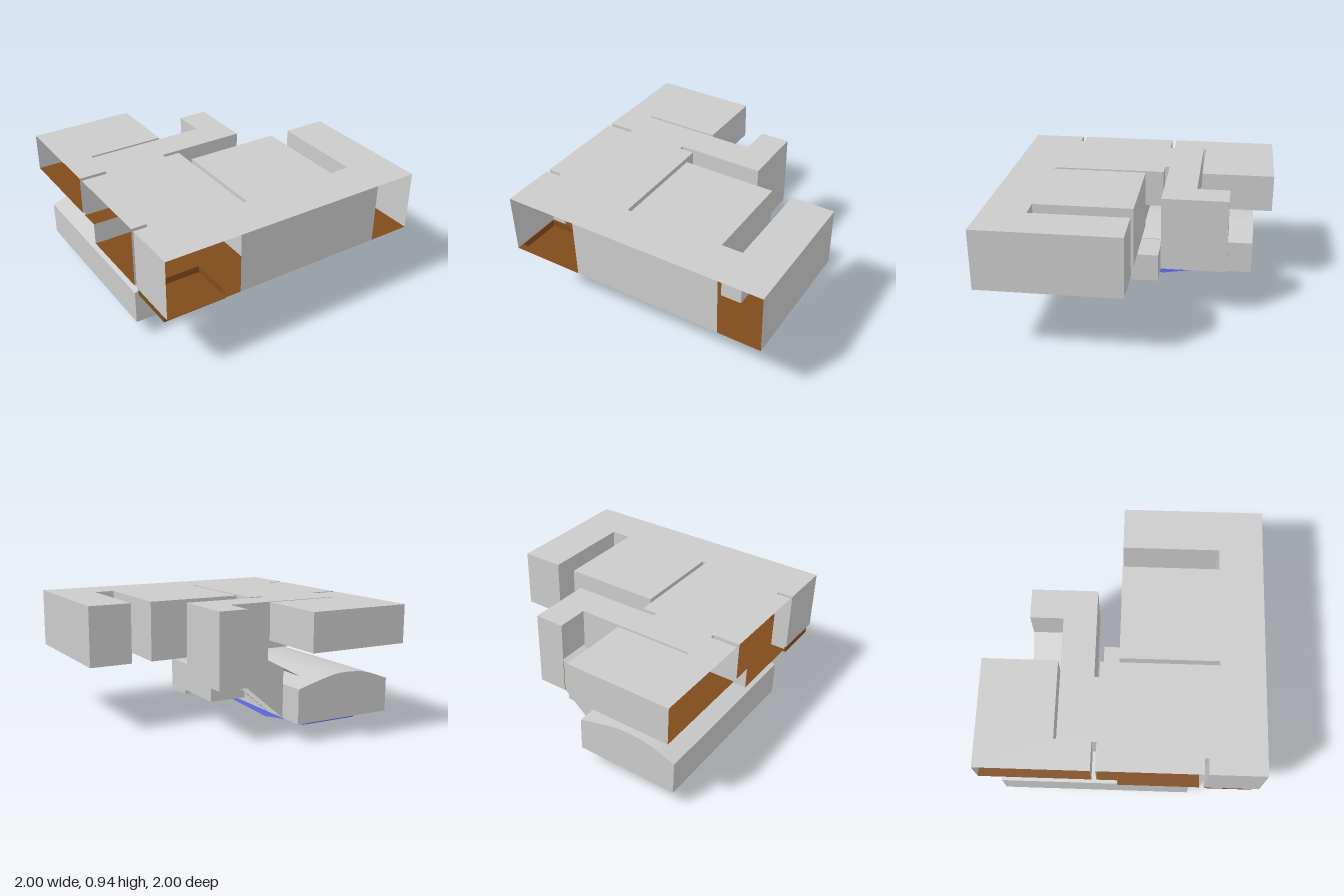
import * as THREE from 'three';

const mat = (color) => new THREE.MeshStandardMaterial({ color, side: THREE.DoubleSide });

export function createModel() {
  const model = new THREE.Group();
  const grey = mat(0xcccccc), brown = mat(0x7f4c1c), blue = mat(0x6670ee);

  const add = (name, geometry, material) => {
    const mesh = new THREE.Mesh(geometry, material);
    mesh.name = name;
    model.add(mesh);
  };

  // Flat sheet: 2D outline with holes, placed in space by map(u, v)
  const panel = (name, pts, map, material, holes = []) => {
    const v2 = (list) => list.map(([u, v]) => new THREE.Vector2(u, v));
    const shape = new THREE.Shape(v2(pts));
    holes.forEach((h) => shape.holes.push(new THREE.Path(v2(h))));
    const g = new THREE.ShapeGeometry(shape);
    const p = g.attributes.position;
    for (let i = 0; i < p.count; i++) p.setXYZ(i, ...map(p.getX(i), p.getY(i)));
    g.computeVertexNormals();
    add(name, g, material);
  };
  const level = (y) => (x, z) => [x, y, z];
  const atZ = (z) => (x, y) => [x, y, z];
  const atX = (x) => (z, y) => [x, y, z];
  const rect = (a, b, c, d) => [[a, c], [b, c], [b, d], [a, d]];

  // Open strip joining two matching rows of points
  const strip = (name, rowA, rowB, material, smooth = false) => {
    let g = new THREE.BufferGeometry();
    g.setAttribute('position', new THREE.Float32BufferAttribute([...rowA, ...rowB].flat(), 3));
    const n = rowA.length, index = [];
    for (let i = 0; i < n - 1; i++) index.push(i, i + 1, n + i, i + 1, n + i + 1, n + i);
    g.setIndex(index);
    if (!smooth) g = g.toNonIndexed();
    g.computeVertexNormals();
    add(name, g, material);
  };
  const sweepZ = (name, pts, z0, z1, material, smooth) =>
    strip(name, pts.map(([x, y]) => [x, y, z0]), pts.map(([x, y]) => [x, y, z1]), material, smooth);

  // Upper storey outline: x, z, and bottom of the wall starting there (0 = open side)
  const TOP = 0.95, FLOOR = 0.51, HIGH = 0.67, LANDING = 0.4;
  const outline = [
    [-1, 1, 0], [-0.45, 1, FLOOR], [0.68, 1, 0], [1, 1, FLOOR], [1, -0.03, FLOOR],
    [0.68, -0.03, FLOOR], [0.68, 0.68, FLOOR], [0.525, 0.68, FLOOR], [0.525, -0.03, FLOOR],
    [-0.19, -0.03, FLOOR], [-0.19, 0.68, FLOOR], [-0.22, 0.68, FLOOR], [-0.22, -0.02, HIGH],
    [-0.22, -0.165, HIGH], [-0.335, -0.165, HIGH], [-0.335, -0.2, HIGH], [-0.22, -0.2, LANDING],
    [0.32, -0.2, LANDING], [0.32, -0.68, LANDING], [0.1, -0.68, HIGH], [0.1, -0.44, LANDING],
    [-0.22, -0.44, HIGH], [-0.785, -0.44, HIGH], [-0.785, -0.46, HIGH], [-0.22, -0.46, HIGH],
    [-0.22, -1, HIGH], [-1, -1, 0], [-1, -0.2, HIGH], [-0.8, -0.2, HIGH], [-0.8, -0.165, HIGH],
    [-1, -0.165, 0], [-1, -0.02, 0], [-1, 0.57, FLOOR], [-0.89, 0.57, FLOOR],
    [-0.89, 0.6, FLOOR], [-1, 0.6, FLOOR],
  ];
  panel('ceiling', outline, level(TOP), grey);
  outline.forEach(([x, z, bottom], i) => {
    if (!bottom) return;
    const [x2, z2] = outline[(i + 1) % outline.length];
    strip('upperWall', [[x, bottom, z], [x2, bottom, z2]], [[x, TOP, z], [x2, TOP, z2]], grey);
  });

  // Upper floors: main level, raised level and the riser between them
  const tray = [-0.995, -0.53, 0.61, 0.95];
  panel('mainFloor', [...outline.slice(0, 13), ...outline.slice(31)], level(FLOOR), brown, [rect(...tray)]);
  panel('raisedFloor', [
    ...outline.slice(12, 17), [-0.22, -0.44], ...outline.slice(22, 32),
  ], level(HIGH), brown);
  panel('floorRiser', rect(-1, -0.22, FLOOR, HIGH), atZ(-0.02), grey);

  // Sunken seating pit with a small step beside it
  const [tx0, tx1, tz0, tz1] = tray;
  panel('pitFloor', rect(...tray), level(0.46), brown);
  for (const z of [tz0, tz1]) panel('pitSide', rect(tx0, tx1, 0.46, FLOOR), atZ(z), brown);
  for (const x of [tx0, tx1]) panel('pitEnd', rect(tz0, tz1, 0.46, FLOOR), atX(x), brown);
  const step = new THREE.BoxGeometry(0.045, 0.044, 0.3);
  step.translate(-0.507, 0.485, 0.77);
  add('pitStep', step, grey);

  // Stairs: alternating risers and treads between two points
  const stairs = (name, x0, y0, x1, y1, z0, z1, count) => {
    const dx = (x1 - x0) / count, dy = (y1 - y0) / count;
    for (let i = 0; i < count; i++) {
      const x = x0 + i * dx, y = y0 + i * dy;
      sweepZ(name + 'Riser', [[x, y], [x, y + dy]], z0, z1, grey);
      sweepZ(name + 'Tread', [[x, y + dy], [x + dx, y + dy]], z0, z1, brown);
    }
  };
  panel('landingFloor', rect(0.1, 0.32, -0.68, -0.2), level(LANDING), brown);
  stairs('upperStair', 0.1, LANDING, -0.22, HIGH, -0.44, -0.2, 8);
  stairs('lowerStair', -0.2, 0.145, 0.1, LANDING, -0.675, -0.457, 8);
  for (const z of [-0.675, -0.457]) {
    panel('stairSideWall', [[-0.2, 0.145], [0.1, LANDING], [0.1, HIGH], [-0.2, FLOOR]], atZ(z), grey);
  }
  sweepZ('stairRoof', [[-0.35, 0.43], [-0.2, FLOOR], [0.1, HIGH]], -0.68, -0.455, grey);

  // Pool hall with an arched roof
  const HALL = 0.145, zBack = -0.87, zFront = 0.505;
  const arch = new THREE.SplineCurve([
    [-0.97, 0.393], [-0.8, 0.453], [-0.68, 0.473], [-0.52, 0.473], [-0.36, 0.438], [-0.2, 0.395],
  ].map(([x, y]) => new THREE.Vector2(x, y))).getPoints(24).map((p) => [p.x, p.y]);
  sweepZ('poolHallRoof', arch, zFront, zBack, grey, true);
  for (const z of [zBack, zFront]) {
    panel('poolHallEnd', [[-0.97, HALL], ...arch, [-0.2, HALL]], atZ(z), grey);
  }
  panel('poolHallOuterWall', rect(zBack, zFront, HALL, 0.393), atX(-0.97), grey);
  for (const [a, b] of [[zBack, -0.675], [-0.457, zFront]]) {
    panel('poolHallInnerWall', rect(a, b, HALL, 0.395), atX(-0.2), grey);
  }
  const px0 = -0.81, px1 = -0.38;
  panel('poolHallFloor', rect(-0.97, -0.2, zBack, zFront), level(HALL), grey, [rect(px0, px1, -0.71, 0.35)]);

  // Pool basin with a sloping bottom
  const bed = [[0.35, 0.025], [-0.16, 0.005], [-0.44, 0.05], [-0.455, 0.065], [-0.67, 0.065], [-0.71, 0.08]];
  strip('poolBottom', bed.map(([z, y]) => [px0, y, z]), bed.map(([z, y]) => [px1, y, z]), blue);
  for (const x of [px0, px1]) panel('poolSide', [[0.35, HALL], ...bed, [-0.71, HALL]], atX(x), blue);
  panel('poolDeepEnd', rect(px0, px1, 0.025, HALL), atZ(0.35), blue);
  panel('poolShallowEnd', rect(px0, px1, 0.08, HALL), atZ(-0.71), blue);

  // Changing room beside the pool hall, with a lower entry
  const room = [-0.19, 0.1, -0.16, 0.505];
  panel('sideRoomRoof', rect(...room), level(0.395), grey);
  panel('sideRoomFloor', rect(...room), level(0.18), brown);
  for (const z of [room[2], room[3]]) panel('sideRoomEnd', rect(-0.19, 0.1, 0.18, 0.395), atZ(z), grey);
  panel('sideRoomWall', rect(room[2], room[3], 0.18, 0.395), atX(0.1), grey);
  const entry = new THREE.BoxGeometry(0.25, 0.034, 0.235);
  entry.translate(-0.025, 0.162, 0.387);
  add('sideRoomEntry', entry, grey);

  return model;
}
